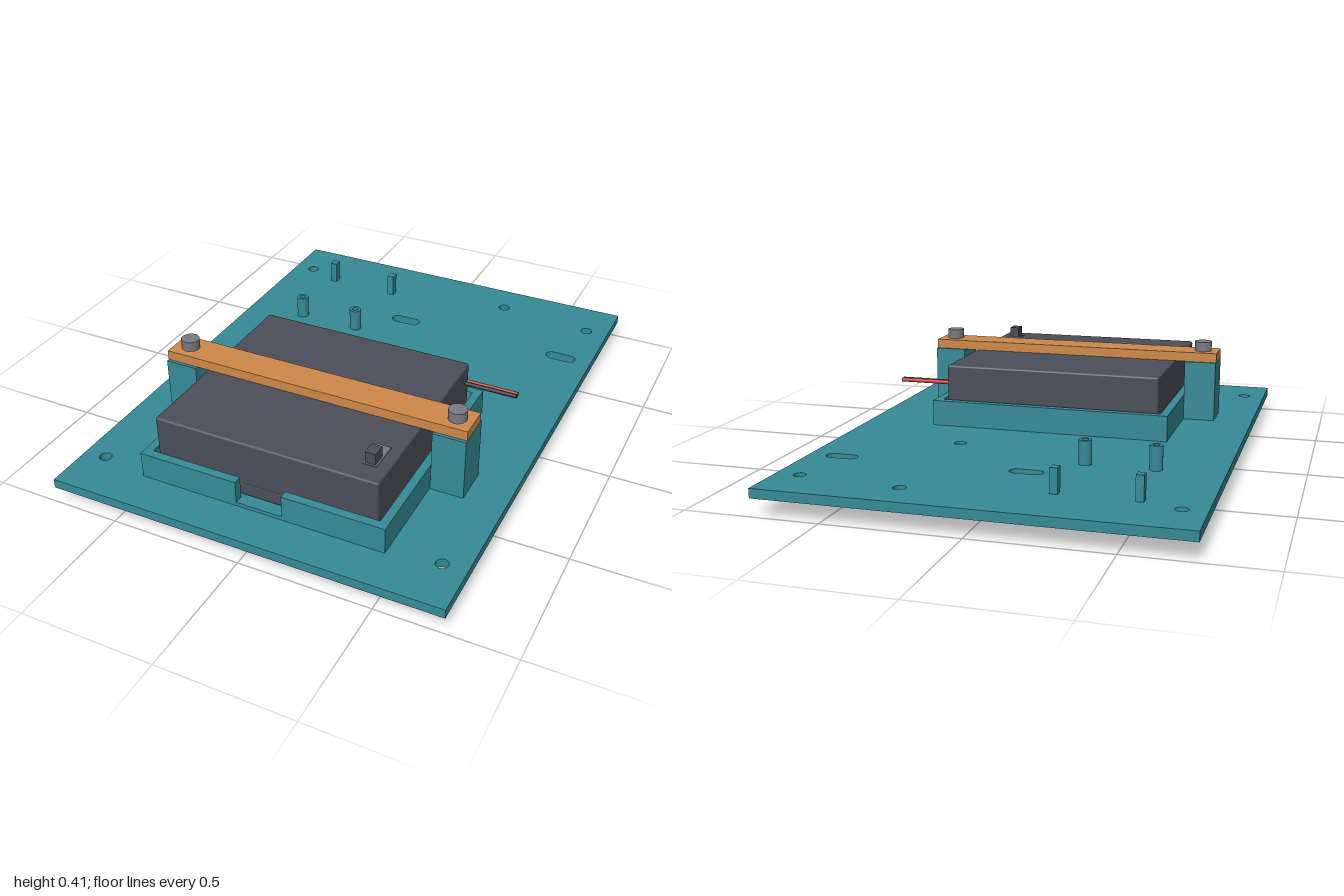
import * as THREE from 'three';
import { RoundedBoxGeometry } from 'three/addons/geometries/RoundedBoxGeometry.js';

const mat = (name, color) => Object.assign(new THREE.MeshStandardMaterial({ color }), { name });

export function createModel() {
  const teal = mat('teal plastic', 0x358a96);
  const dark = mat('battery charcoal', 0x4b4e58);
  const orange = mat('strap orange', 0xcd8848);
  const steel = mat('bolt grey', 0x76797e);
  const red = mat('wire red', 0xc03a3a);
  const black = mat('wire black', 0x28282b);

  const model = new THREE.Group();
  const add = (name, geometry, material) => {
    const mesh = new THREE.Mesh(geometry, material);
    mesh.name = name;
    model.add(mesh);
    return mesh;
  };
  // Box given by its lower and upper limits on each axis
  const box = (name, material, x0, x1, y0, y1, z0, z1) =>
    add(name, new THREE.BoxGeometry(x1 - x0, y1 - y0, z1 - z0), material)
      .position.set((x0 + x1) / 2, (y0 + y1) / 2, (z0 + z1) / 2);
  const cylinder = (name, material, r, y0, y1, x, z, sides = 32) =>
    add(name, new THREE.CylinderGeometry(r, r, y1 - y0, sides), material)
      .position.set(x, (y0 + y1) / 2, z);
  // Floor plan outline (x, -z) raised from y0 to y1
  const raise = (name, material, shape, y0, y1) => {
    const g = new THREE.ExtrudeGeometry(shape, { depth: y1 - y0, bevelEnabled: false, curveSegments: 16 });
    g.rotateX(-Math.PI / 2).translate(0, y0, 0);
    return add(name, g, material);
  };
  const outline = (points) => new THREE.Shape(points.map(([x, z]) => new THREE.Vector2(x, -z)));
  const hole = (x, z, r) => new THREE.Path().absarc(x, -z, r, 0, Math.PI * 2, true);
  const slot = (x, z, half, r) => new THREE.Path()
    .absarc(x + half - r, -z, r, -Math.PI / 2, Math.PI / 2, false)
    .absarc(x - half + r, -z, r, Math.PI / 2, Math.PI * 1.5, false);

  // Base plate with round holes and slots
  const standoffs = [[-0.505, -0.415], [-0.25, -0.415]];
  const plate = outline([[-0.75, 1], [0.75, 1], [0.75, -1], [-0.75, -1]]);
  for (const [x, z] of [[-0.665, -0.815], [0.66, -0.815], [-0.665, 0.81], [0.66, 0.81], [0.272, -0.855], [0.272, -0.28]])
    plate.holes.push(hole(x, z, 0.023));
  for (const [x, z] of standoffs) plate.holes.push(hole(x, z, 0.012));
  for (const x of [-0.078, 0.623]) plate.holes.push(slot(x, -0.565, 0.062, 0.025));
  raise('basePlate', teal, plate, 0.065, 0.1);

  // Hollow round standoffs and small square posts
  for (const [x, z] of standoffs) {
    const ring = new THREE.Shape().absarc(x, -z, 0.024, 0, Math.PI * 2, false);
    ring.holes.push(hole(x, z, 0.012));
    raise('standoff', teal, ring, 0.1, 0.19);
  }
  for (const x of [-0.523, -0.237])
    box('squarePost', teal, x - 0.014, x + 0.014, 0.1, 0.19, -0.782, -0.748);

  // Battery tray: floor and wall, open at the front notch
  box('trayFloor', teal, -0.475, 0.472, 0.1, 0.115, -0.048, 0.845);
  raise('trayWall', teal, outline([
    [-0.09, 0.845], [-0.09, 0.812], [-0.443, 0.812], [-0.443, -0.017], [0.44, -0.017], [0.44, 0.812],
    [0.088, 0.812], [0.088, 0.845], [0.472, 0.845], [0.472, -0.048], [-0.475, -0.048], [-0.475, 0.845],
  ]), 0.115, 0.2);

  // Battery pack with its switch
  add('batteryPack', new RoundedBoxGeometry(0.855, 0.222, 0.802, 2, 0.008), dark).position.set(-0.002, 0.226, 0.398);
  box('batterySeam', steel, -0.088, 0.087, 0.164, 0.167, 0.797, 0.8);
  box('switchPlate', steel, 0.33, 0.383, 0.333, 0.34, 0.605, 0.722);
  box('switchKnob', dark, 0.338, 0.377, 0.335, 0.382, 0.664, 0.716);

  // Wire pair leaving the battery on its left side
  [['redWire', red, 0.011], ['blackWire', black, 0.027]].forEach(([name, material, z]) => {
    const wire = add(name, new THREE.CylinderGeometry(0.008, 0.008, 0.217, 16), material);
    wire.rotation.z = Math.PI / 2;
    wire.position.set(0.5185, 0.264, z);
  });

  // Strap over the battery, held by a post and bolt at each end
  box('strap', orange, -0.6, 0.598, 0.338, 0.375, 0.335, 0.459);
  for (const s of [-1, 1]) {
    box('strapPost', teal, s * 0.5365 - 0.0625, s * 0.5365 + 0.0625, 0.1, 0.338, 0.325, 0.471);
    const x = s * 0.537, z = 0.398;
    cylinder('boltHead', steel, 0.034, 0.375, 0.413, x, z);
    cylinder('boltShaft', steel, 0.02, 0, 0.07, x, z);
    cylinder('nut', steel, 0.038, 0.033, 0.065, x, z, 6);
  }
  return model;
}
